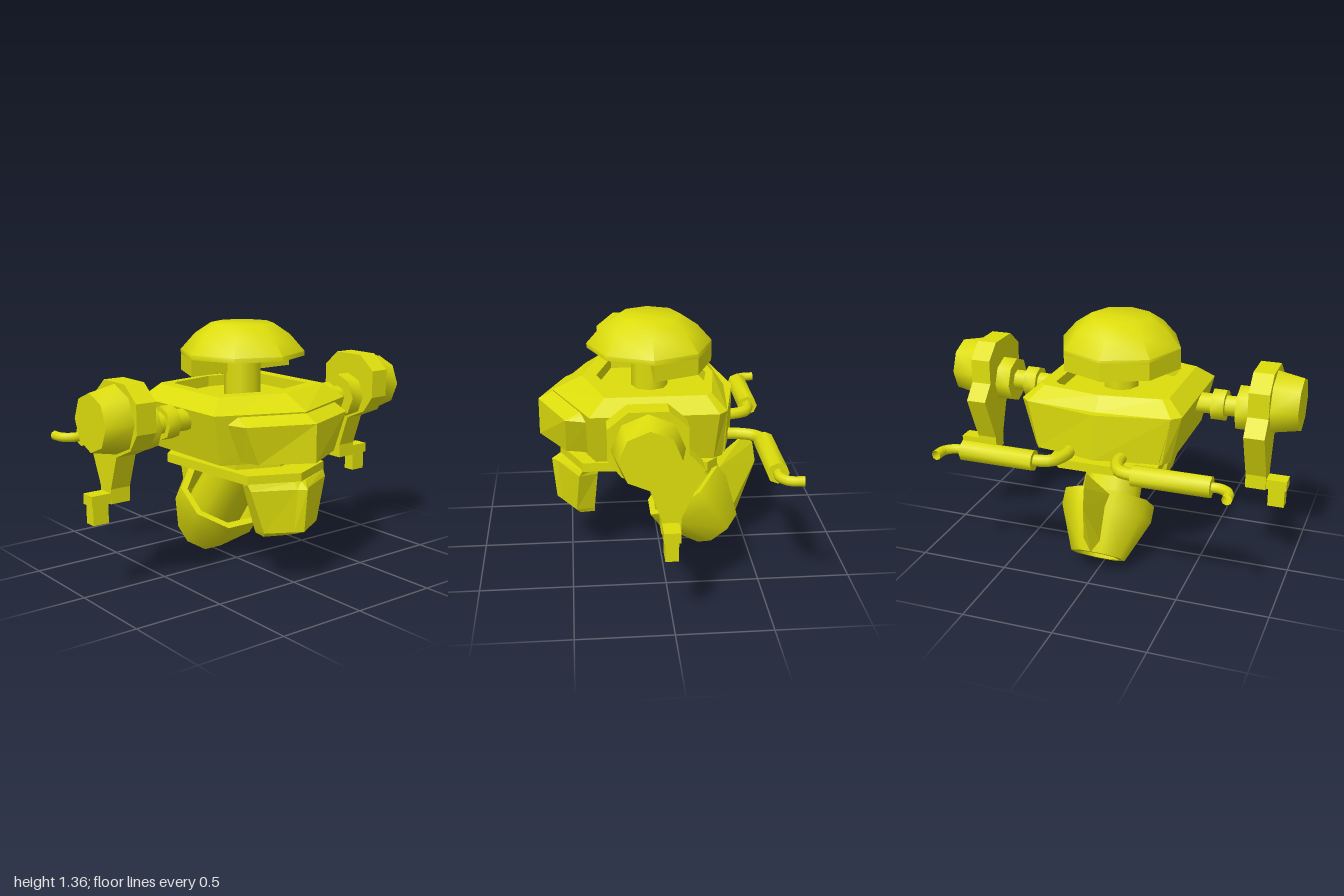
import * as THREE from 'three';
import { toCreasedNormals } from 'three/addons/utils/BufferGeometryUtils.js';
import { ConvexGeometry } from 'three/addons/geometries/ConvexGeometry.js';

const paint = new THREE.MeshStandardMaterial({ color: 0xdddd0c });
const flat = new THREE.MeshStandardMaterial({ color: 0xdddd0c, flatShading: true });
const thin = new THREE.MeshStandardMaterial({ color: 0xdddd0c, side: THREE.DoubleSide });

function add(parent, name, geo, mat = paint) {
  const mesh = new THREE.Mesh(geo, mat);
  mesh.name = name;
  parent.add(mesh);
  return mesh;
}

// Half outline [x, z] from front centre to the back, mirrored into a full loop
function mirrored(half) {
  const other = half.filter(p => p[0] > 0).reverse().map(([x, z]) => [-x, z]);
  return [...half, ...other];
}

// Solid through stacked loops: sections are [y, loop of [x, z]]
function loft(sections) {
  const n = sections[0][1].length;
  const pos = [], index = [];
  for (const [y, loop] of sections) for (const [x, z] of loop) pos.push(x, y, z);
  for (let s = 0; s < sections.length - 1; s++) {
    for (let i = 0; i < n; i++) {
      const a = s * n + i, b = s * n + (i + 1) % n;
      index.push(a, b, b + n, a, b + n, a + n);
    }
  }
  const cap = (s, up) => {
    const pts = sections[s][1].map(([x, z]) => new THREE.Vector2(x, -z));
    for (const [a, b, c] of THREE.ShapeUtils.triangulateShape(pts, [])) {
      index.push(s * n + a, s * n + (up ? b : c), s * n + (up ? c : b));
    }
  };
  cap(0, false);
  cap(sections.length - 1, true);
  const geo = new THREE.BufferGeometry();
  geo.setAttribute('position', new THREE.Float32BufferAttribute(pos, 3));
  geo.setIndex(index);
  const out = geo.toNonIndexed();
  out.computeVertexNormals();
  return out;
}
const loftHalf = sections => loft(sections.map(([y, half]) => [y, mirrored(half)]));

function lathe(points) {
  const geo = new THREE.LatheGeometry(points.map(([r, y]) => new THREE.Vector2(r, y)), 8);
  return toCreasedNormals(geo, 0.9);
}

// Eight-sided cylinder along x
function barrel(x0, x1, r0, r1, y, z) {
  const geo = new THREE.CylinderGeometry(r1, r0, x1 - x0, 8);
  geo.rotateZ(-Math.PI / 2);
  geo.translate((x0 + x1) / 2, y, z);
  return geo;
}

function box(x0, x1, y0, y1, z0, z1) {
  const geo = new THREE.BoxGeometry(x1 - x0, y1 - y0, z1 - z0);
  return geo.translate((x0 + x1) / 2, (y0 + y1) / 2, (z0 + z1) / 2);
}

function pipe(points, r) {
  const curve = new THREE.CatmullRomCurve3(points.map(([x, z]) => new THREE.Vector3(x, 0.72, z)));
  return new THREE.TubeGeometry(curve, 10, r, 8);
}

function buildHead() {
  const head = new THREE.Group();
  head.name = 'head';
  add(head, 'dome', lathe([[0, 1.19], [0.34, 1.19], [0.34, 1.215], [0.26, 1.305], [0.17, 1.365], [0, 1.365]]))
    .position.z = 0.05;
  // rear half of the helmet hangs lower
  const half = [0, 1, 2, 3, 4].map(k => [0.34 * Math.cos(k * Math.PI / 4), 0.05 - 0.34 * Math.sin(k * Math.PI / 4)]);
  add(head, 'helmetBack', loft([[1.1, half], [1.2, half]]));
  add(head, 'neck', new THREE.CylinderGeometry(0.1, 0.1, 0.26, 8)).position.set(0, 1.07, 0.05);
  return head;
}

function buildBody() {
  const body = new THREE.Group();
  body.name = 'body';
  // hull with a sunken collar around the neck
  const inner = [[0, 0.34], [0.29, 0.25], [0.29, -0.18], [0.26, -0.21], [0, -0.26]];
  add(body, 'hull', loftHalf([
    [0.685, [[0, 0.52], [0.385, 0.36], [0.385, -0.26], [0.35, -0.31], [0, -0.36]]],
    [0.955, [[0, 0.58], [0.447, 0.39], [0.447, -0.28], [0.4, -0.325], [0, -0.36]]],
    [1.03, [[0, 0.42], [0.36, 0.31], [0.36, -0.22], [0.33, -0.25], [0, -0.3]]],
    [1.03, inner],
    [0.97, inner],
  ]));
  add(body, 'chest', loftHalf([
    [0.7, [[0, 0.66], [0.26, 0.515], [0.29, 0.4], [0.29, 0.1]]],
    [0.905, [[0, 0.66], [0.345, 0.515], [0.38, 0.4], [0.38, 0.1]]],
    [0.948, [[0, 0.575], [0.33, 0.43], [0.36, 0.38], [0.36, 0.1]]],
  ]));
  add(body, 'backPanel', loftHalf([
    [0.7, [[0, 0], [0.34, -0.1], [0.34, -0.325], [0, -0.405]]],
    [0.955, [[0, 0], [0.4, -0.1], [0.4, -0.325], [0, -0.405]]],
  ]));
  const waist = [[0, 0.38], [0.235, 0.29], [0.235, -0.17], [0.19, -0.21], [0, -0.21]];
  add(body, 'waist', loftHalf([[0.61, waist], [0.7, waist]]));
  const belt = [[0, 0.55], [0.265, 0.43], [0.305, -0.24], [0.24, -0.3], [0, -0.3]];
  add(body, 'belt', loftHalf([[0.575, belt], [0.625, belt]]));
  // ridged apron under the belt
  add(body, 'apron', loftHalf([
    [0.285, [[0, 0.515], [0.045, 0.505], [0.17, 0.45], [0.16, 0.37]]],
    [0.31, [[0, 0.578], [0.045, 0.55], [0.185, 0.47], [0.17, 0.37]]],
    [0.545, [[0, 0.6], [0.04, 0.565], [0.26, 0.45], [0.23, 0.35]]],
    [0.58, [[0, 0.55], [0.04, 0.54], [0.265, 0.43], [0.23, 0.345]]],
  ]));
  return body;
}

function buildThruster() {
  const thruster = new THREE.Group();
  thruster.name = 'thruster';
  // tilted bell, open at both ends, on an eight-sided strut
  const tilted = new THREE.Group();
  tilted.name = 'thrusterBell';
  tilted.position.set(0, 0.358, -0.134);
  tilted.rotation.x = 0.65;
  add(tilted, 'bell', lathe([
    [0, -0.25], [0.1, -0.25], [0.12, -0.335], [0.152, -0.335], [0.255, -0.095],
    [0.255, 0], [0.215, 0], [0.2, -0.2], [0, -0.2],
  ])).rotation.y = Math.PI / 8;
  add(tilted, 'strut', new THREE.CylinderGeometry(0.155, 0.17, 0.46, 8)).position.set(0, 0.1, 0);
  tilted.children[1].rotation.y = Math.PI / 8;
  thruster.add(tilted);
  // blade fin on the back of the bell
  const v = (x, y, z) => new THREE.Vector3(x, y, z);
  add(thruster, 'fin', new ConvexGeometry([
    v(0, 0.66, -0.49), v(0, 0.6, -0.535), v(0, 0.485, -0.553), v(0, 0.175, -0.45),
    v(0.07, 0.48, -0.335), v(-0.07, 0.48, -0.335), v(0.05, 0.22, -0.42), v(-0.05, 0.22, -0.42),
  ]), flat);
  return thruster;
}

function buildSide(name, mirror) {
  const side = new THREE.Group();
  side.name = name;
  const arm = new THREE.Group();
  arm.name = 'arm';
  side.add(arm);
  // stepped axle
  for (const [part, x0, x1, r] of [['axle', 0.38, 0.7, 0.06], ['axleRing', 0.515, 0.588, 0.09], ['shoulderDrum', 0.66, 0.75, 0.128]]) {
    add(arm, part, toCreasedNormals(barrel(x0, x1, r, r, 0.895, 0.115), 0.9));
  }
  add(arm, 'shoulderCap', toCreasedNormals(barrel(0.84, 1, 0.182, 0.15, 0.95, 0.12), 0.9));
  // forearm plate outline as [z, y]
  const outline = [
    [0.213, 1.138], [0.02, 1.138], [-0.075, 1.055], [-0.075, 0.92], [-0.155, 0.835], [-0.04, 0.575], [-0.04, 0.497],
    [0.058, 0.497], [0.058, 0.575], [0.12, 0.755], [0.25, 0.81], [0.315, 0.9], [0.315, 1.055],
  ];
  const shape = new THREE.Shape(outline.map(([z, y]) => new THREE.Vector2(-z, y)));
  const plate = new THREE.ExtrudeGeometry(shape, { depth: 0.113, bevelEnabled: false });
  plate.rotateY(Math.PI / 2);
  add(arm, 'armPlate', plate.translate(0.743, 0, 0));
  add(arm, 'wrist', box(0.8, 0.967, 0.5, 0.555, -0.03, 0.055));
  add(arm, 'finger', box(0.867, 0.957, 0.397, 0.51, -0.02, 0.047));
  // exhaust
  const exhaust = new THREE.Group();
  exhaust.name = 'exhaust';
  side.add(exhaust);
  add(exhaust, 'muffler', toCreasedNormals(barrel(0.27, 0.682, 0.057, 0.057, 0.72, -0.547), 0.9));
  add(exhaust, 'feedPipe', pipe([[0.145, -0.34], [0.145, -0.42], [0.19, -0.52], [0.29, -0.547]], 0.034), thin);
  add(exhaust, 'tailPipe', pipe([[0.67, -0.547], [0.725, -0.547], [0.775, -0.585], [0.785, -0.66]], 0.027), thin);
  side.scale.x = mirror;
  return side;
}

export function createModel() {
  const model = new THREE.Group();
  model.name = 'robot';
  model.add(buildHead(), buildBody(), buildThruster(), buildSide('leftSide', 1), buildSide('rightSide', -1));
  return model;
}
